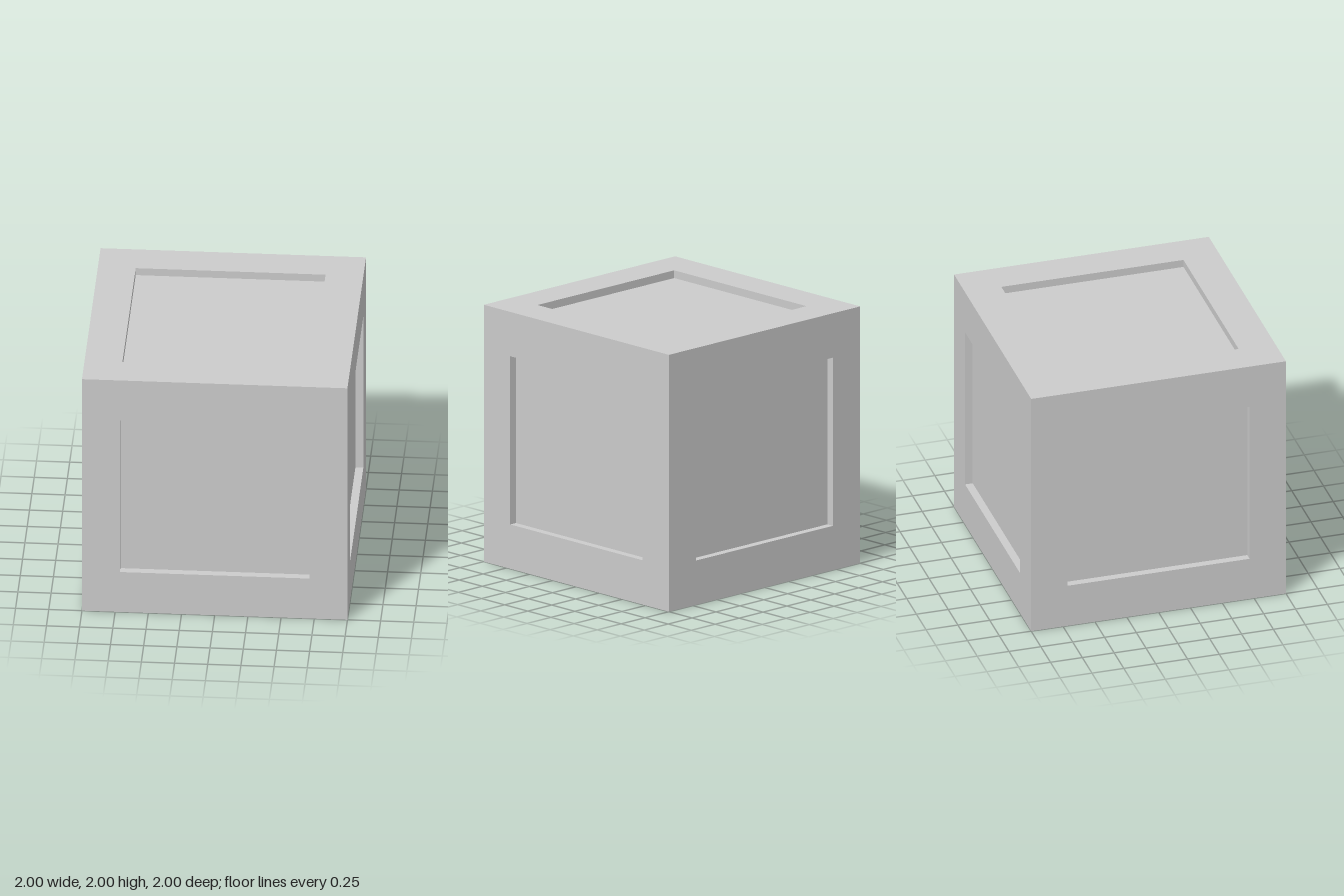
import * as THREE from 'three';

const SIZE = 2;          // outer edge of the crate
const POST = 0.285;      // width of posts and depth of rails
const RAIL = 0.345;      // height of rails
const RECESS = 0.06;     // how far panels sit behind the frame

export function createModel() {
  const crate = new THREE.Group();
  crate.name = 'crate';
  const material = new THREE.MeshStandardMaterial({ color: 0xcccccc, flatShading: true });

  const addBox = (name, w, h, d, x, y, z) => {
    const mesh = new THREE.Mesh(new THREE.BoxGeometry(w, h, d), material);
    mesh.name = name;
    mesh.position.set(x, y, z);
    crate.add(mesh);
  };

  // Inner body whose six faces are the recessed panels
  const inner = SIZE - 2 * RECESS;
  addBox('panelBody', inner, inner, inner, 0, SIZE / 2, 0);

  // Full-height corner posts
  const edge = (SIZE - POST) / 2;
  for (const x of [-1, 1]) {
    for (const z of [-1, 1]) {
      addBox('cornerPost', POST, SIZE, POST, x * edge, SIZE / 2, z * edge);
    }
  }

  // Rails between the posts, around the bottom and the top
  const span = SIZE - 2 * POST;
  for (const [level, y] of [['bottom', RAIL / 2], ['top', SIZE - RAIL / 2]]) {
    for (const side of [-1, 1]) {
      addBox(level + (side > 0 ? 'FrontRail' : 'BackRail'), span, RAIL, POST, 0, y, side * edge);
      addBox(level + (side > 0 ? 'LeftRail' : 'RightRail'), POST, RAIL, span, side * edge, y, 0);
    }
  }
  return crate;
}
